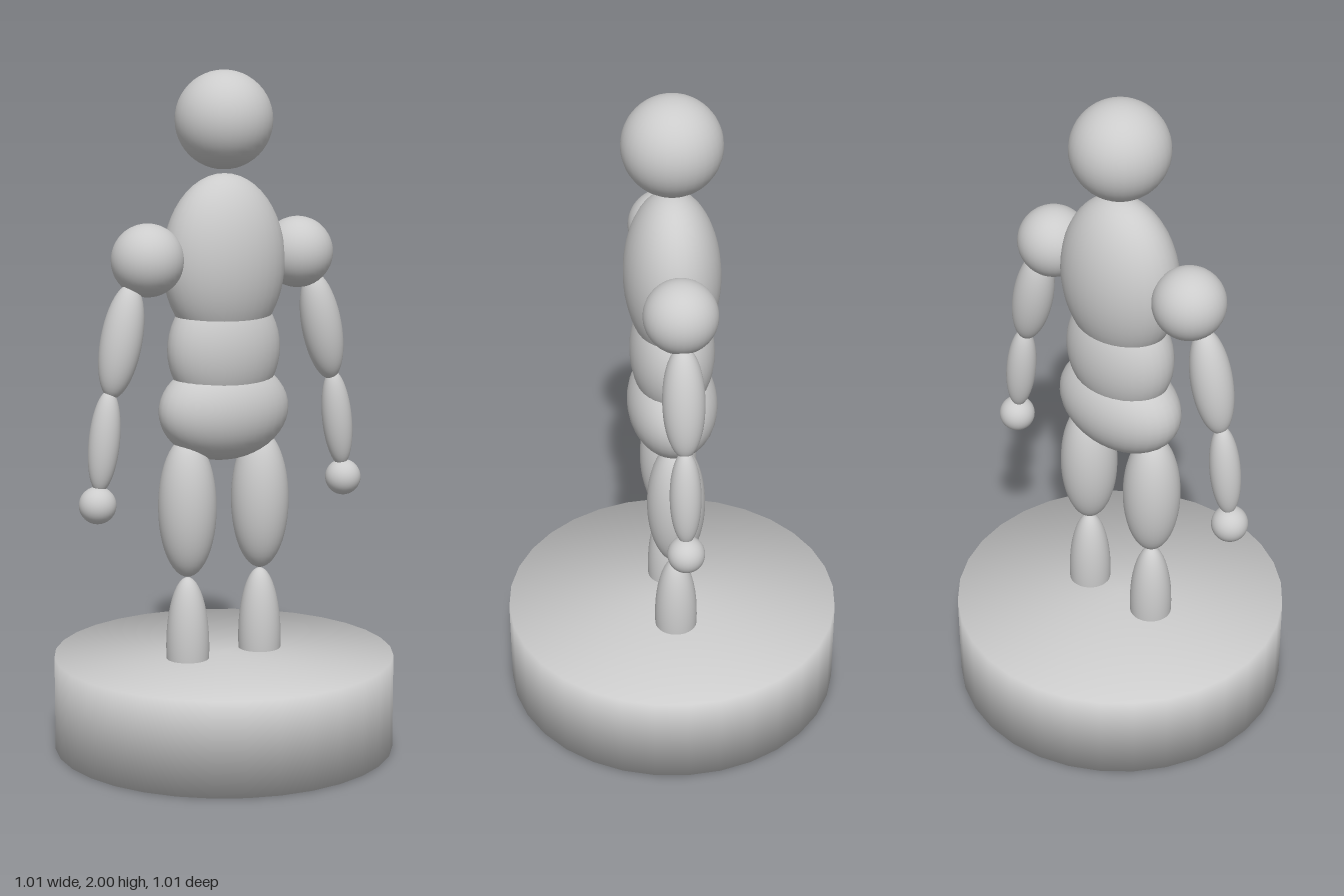
import * as THREE from 'three';
import { mergeVertices } from 'three/addons/utils/BufferGeometryUtils.js';

const material = new THREE.MeshStandardMaterial({ color: 0xcccccc });

export function createModel() {
  const model = new THREE.Group();
  model.name = 'mannequin';

  // Ellipsoid with centre, radii and a tilt about z
  function ellipsoid(name, [x, y, z], [rx, ry, rz], tilt = 0) {
    const geometry = new THREE.SphereGeometry(1, 32, 24).scale(rx, ry, rz);
    const mesh = new THREE.Mesh(geometry, material);
    mesh.name = name;
    mesh.position.set(x, y, z);
    mesh.rotation.z = tilt;
    model.add(mesh);
  }

  // Round base, softly shaded across its rim
  const disc = new THREE.CylinderGeometry(0.505, 0.505, 0.28, 32);
  disc.deleteAttribute('normal');
  disc.deleteAttribute('uv');
  const baseGeometry = mergeVertices(disc);
  baseGeometry.computeVertexNormals();
  const base = new THREE.Mesh(baseGeometry, material);
  base.name = 'base';
  base.position.y = 0.14;
  model.add(base);

  // Head and torso
  ellipsoid('head', [0, 1.858, 0], [0.142, 0.142, 0.142]);
  ellipsoid('chest', [0, 1.45, 0], [0.189, 0.255, 0.139]);
  ellipsoid('abdomen', [0, 1.195, 0], [0.176, 0.19, 0.123]);
  ellipsoid('hips', [0, 1.016, 0], [0.206, 0.149, 0.132]);

  // Arms and legs, mirrored
  for (const [side, s] of [['left', 1], ['right', -1]]) {
    ellipsoid(side + 'Shoulder', [s * 0.25, 1.466, 0], [0.105, 0.105, 0.105]);
    ellipsoid(side + 'UpperArm', [s * 0.336, 1.24, 0], [0.06, 0.166, 0.06], s * 0.21);
    ellipsoid(side + 'Forearm', [s * 0.393, 0.955, 0], [0.045, 0.148, 0.045], s * 0.12);
    ellipsoid(side + 'Hand', [s * 0.416, 0.772, 0], [0.054, 0.054, 0.054]);
    ellipsoid(side + 'Thigh', [s * 0.123, 0.735, 0], [0.086, 0.208, 0.086]);
    ellipsoid(side + 'Shin', [s * 0.123, 0.315, 0], [0.064, 0.21, 0.064]);
  }
  return model;
}
